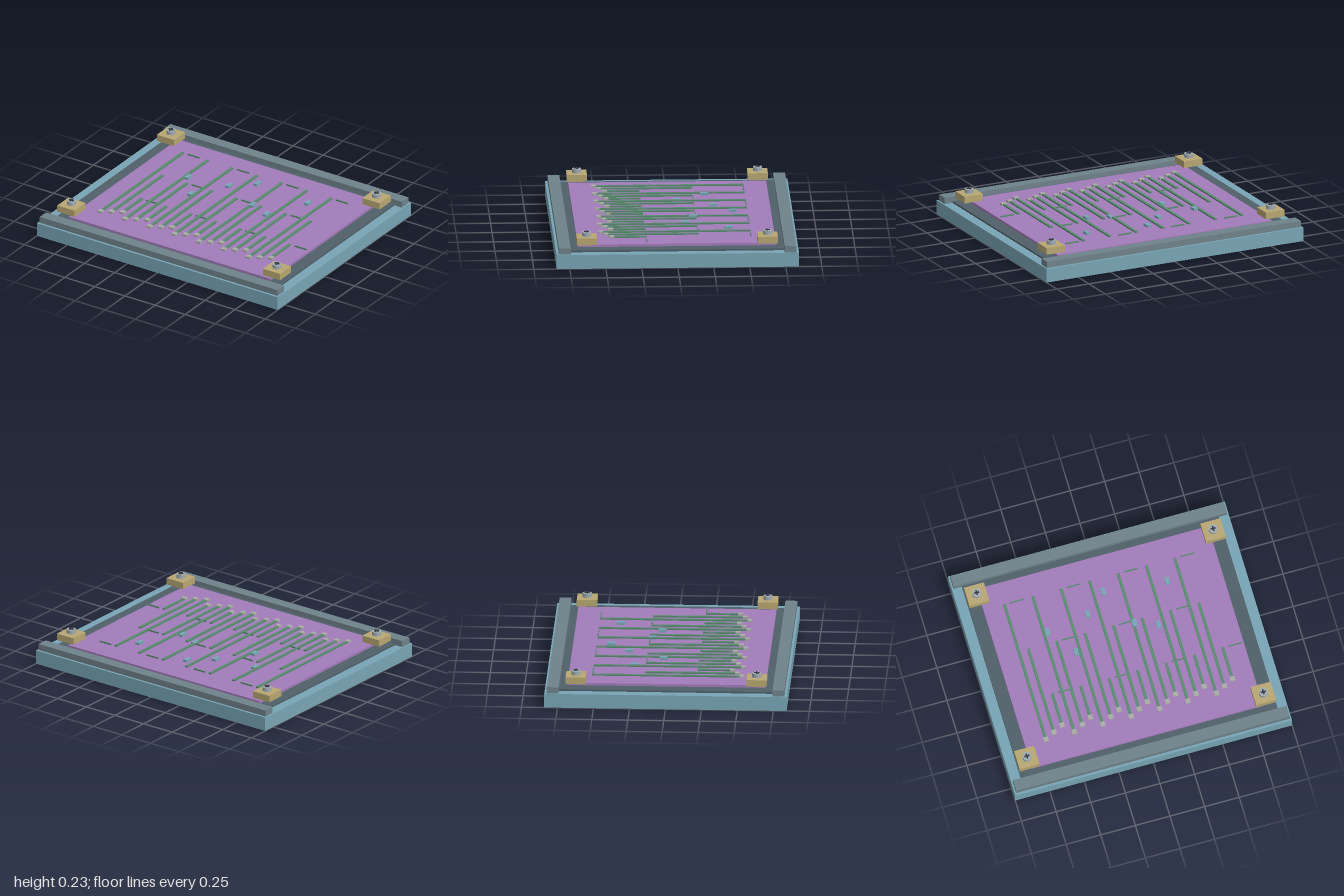
import * as THREE from 'three';

const mat = (name, color) => {
  const m = new THREE.MeshStandardMaterial({ color });
  m.name = name;
  return m;
};

export function createModel() {
  const model = new THREE.Group();
  model.name = 'probeBoard';

  const blue = mat('tray blue', 0x78a5b5);
  const slate = mat('rail slate', 0x6f828a);
  const dark = mat('bed dark slate', 0x4f5f69);
  const purple = mat('board purple', 0xa27cba);
  const tan = mat('clamp tan', 0xb8a772);
  const steel = mat('screw steel', 0xa0abb3);
  const black = mat('slot black', 0x343b42);
  const green = mat('trace green', 0x5a8a70);
  const grey = mat('pad grey', 0xa9aca6);

  // Box given by centre x and z, bottom and top heights, and footprint
  const box = (name, material, x, z, y0, y1, w, d, parent = model) => {
    const mesh = new THREE.Mesh(new THREE.BoxGeometry(w, y1 - y0, d), material);
    mesh.name = name;
    mesh.position.set(x, (y0 + y1) / 2, z);
    parent.add(mesh);
    return mesh;
  };

  // Stacked base, bed and board
  box('tray', blue, 0, 0, 0, 0.1, 2, 1.684);
  box('bed', dark, 0, 0, 0.1, 0.112, 1.856, 1.49);
  box('board', purple, 0, 0, 0.112, 0.13, 1.67, 1.376);

  // Front and back rails
  for (const s of [1, -1]) {
    box(s > 0 ? 'frontRail' : 'backRail', slate, 0, s * 0.784, 0.1, 0.145, 1.976, 0.082);
  }

  // Corner clamps, each with a cross-head screw
  for (const sx of [1, -1]) {
    for (const sz of [1, -1]) {
      const corner = new THREE.Group();
      corner.name = 'cornerClamp';
      corner.position.set(sx * 0.854, 0, sz * 0.628);
      box('clampBlock', tan, 0, 0, 0.149, 0.197, 0.144, 0.14, corner);
      const head = new THREE.Mesh(new THREE.CylinderGeometry(0.032, 0.032, 0.027, 16), steel);
      head.name = 'screwHead';
      head.position.y = 0.2125;
      corner.add(head);
      box('screwSlotAcross', black, 0, 0, 0.225, 0.233, 0.036, 0.01, corner);
      box('screwSlotAlong', black, 0, 0, 0.225, 0.2328, 0.01, 0.036, corner);
      model.add(corner);
    }
  }

  // Traces in three repeating lengths, each ending in a contact pad
  const startZ = [-0.523, -0.16, 0.205];
  const padZ = [0.518, 0.482, 0.446];
  for (let i = 0; i < 21; i++) {
    const x = -0.685 + i * 0.0684;
    const z0 = startZ[i % 3];
    const z1 = padZ[i % 3];
    box('trace', green, x, (z0 + z1) / 2, 0.137, 0.147, 0.02, z1 - z0);
    box('contactPad', grey, x, z1, 0.136, 0.15, 0.035, 0.034);
    // Thin side branch on every other trace
    if (i % 2 === 0) box('branchTrace', green, x + 0.09, z0 + 0.002, 0.137, 0.147, 0.1, 0.007);
  }

  // Small surface components
  const chips = [
    [-0.455, -0.24], [-0.15, -0.29], [0, -0.422], [0.45, -0.375],
    [0.145, -0.14], [0.3, -0.08], [-0.302, -0.044],
  ];
  for (const [x, z] of chips) box('chip', blue, x, z, 0.134, 0.151, 0.032, 0.054);

  return model;
}
